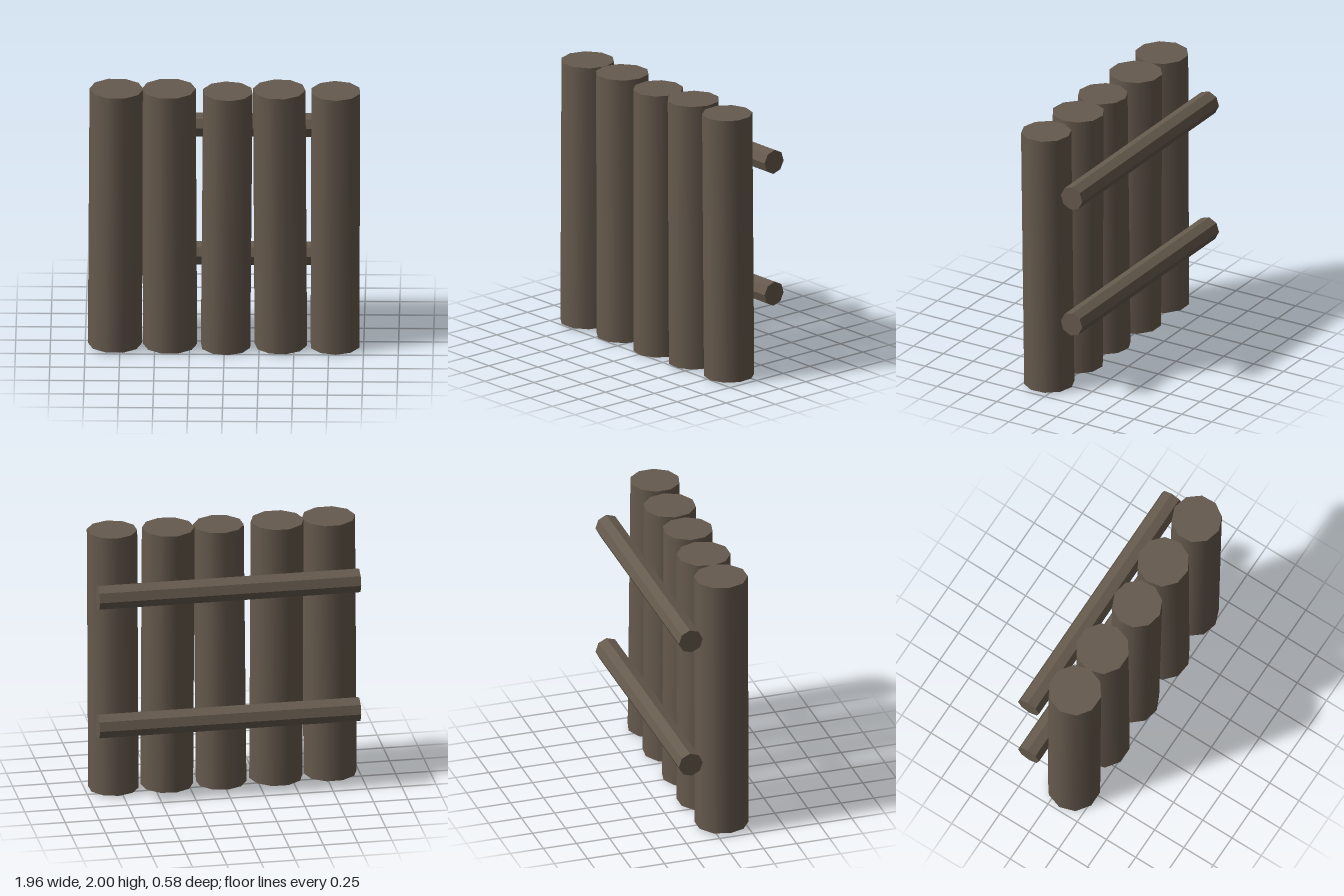
import * as THREE from 'three';

export function createModel() {
  const model = new THREE.Group();
  const wood = new THREE.MeshStandardMaterial({ color: 0x665a4e });
  wood.name = 'darkWood';
  const railWood = wood.clone(); // same colour, faceted
  railWood.flatShading = true;

  // Upright logs, each leaning slightly: [radius, bottom centre, top centre, turn]
  const logs = [
    [0.194, [-0.787, 0.02, 0.085], [-0.775, 1.997, 0.085], Math.PI / 10],
    [0.194, [-0.39, 0.013, 0.08], [-0.4, 1.996, 0.078], Math.PI / 10],
    [0.182, [0.008, 0.004, 0.085], [0.025, 1.987, 0.1], 0.1],
    [0.19, [0.405, 0.013, 0.082], [0.394, 1.997, 0.084], 0.2],
    [0.182, [0.794, 0.012, 0.085], [0.8, 1.997, 0.108], 0.05],
  ];
  const up = new THREE.Vector3(0, 1, 0);
  logs.forEach(([radius, bottom, top, turn], i) => {
    const a = new THREE.Vector3(...bottom);
    const b = new THREE.Vector3(...top);
    const axis = b.clone().sub(a);
    const geometry = new THREE.CylinderGeometry(radius, radius, axis.length(), 10, 1, false, turn);
    const log = new THREE.Mesh(geometry, wood);
    log.name = `uprightLog${i + 1}`;
    log.position.copy(a).add(b).multiplyScalar(0.5);
    log.quaternion.setFromUnitVectors(up, axis.normalize());
    model.add(log);
  });

  // Two eight-sided rails across the back
  [['lowerRail', 0.605], ['upperRail', 1.602]].forEach(([name, y]) => {
    const rail = new THREE.Mesh(new THREE.CylinderGeometry(0.09, 0.09, 1.905, 8, 1, false, 0.08), railWood);
    rail.name = name;
    rail.rotation.z = Math.PI / 2;
    rail.position.set(0.005, y, -0.2);
    model.add(rail);
  });

  return model;
}
